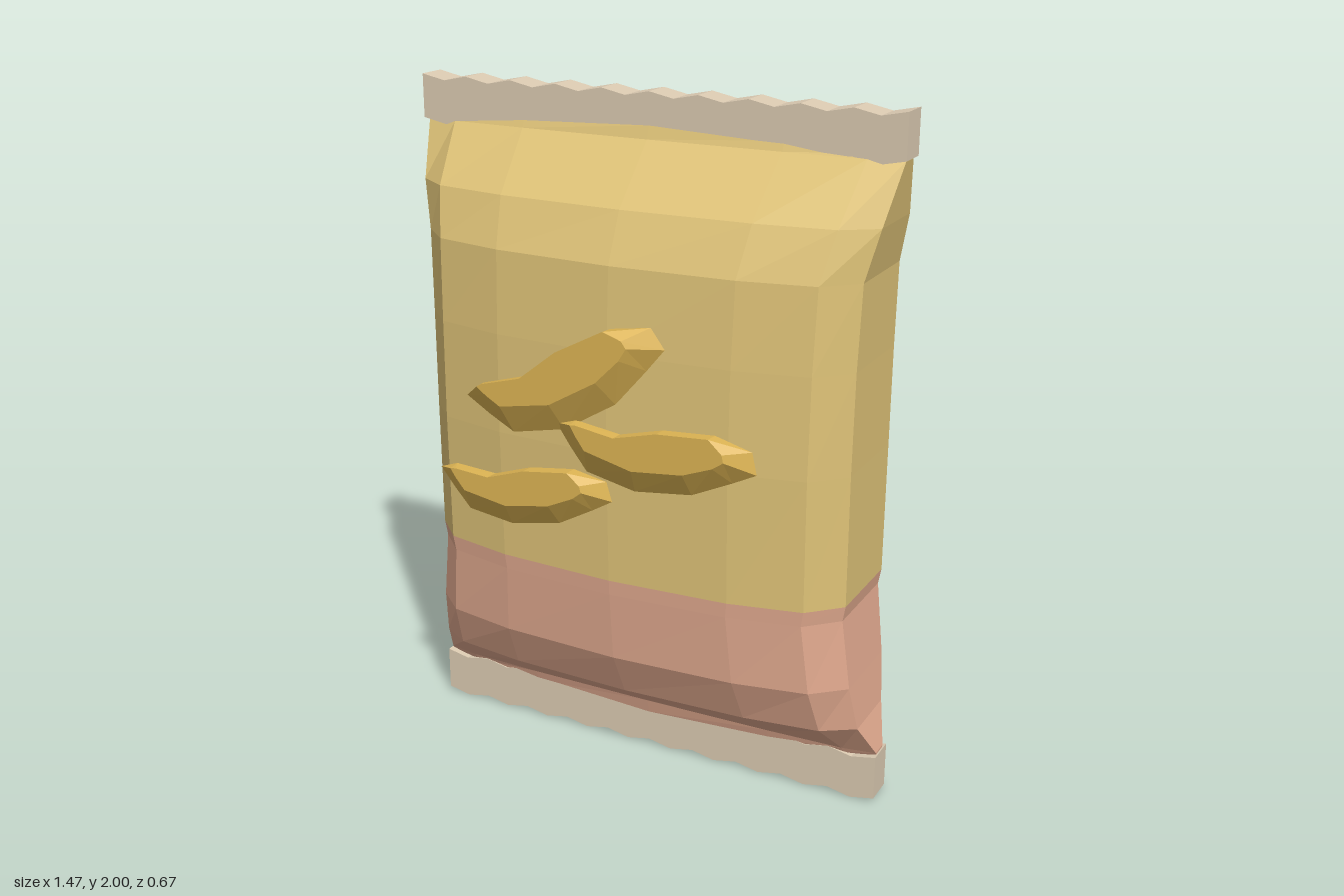
import * as THREE from 'three';

const mat = (name, color) => new THREE.MeshStandardMaterial({ name, color, flatShading: true });

// Non-indexed geometry from a list of Vector3 triangle corners
function facets(points) {
  const g = new THREE.BufferGeometry().setFromPoints(points);
  g.computeVertexNormals();
  return g;
}

// Skin between closed rings of equal length
function skin(rings) {
  const out = [];
  for (let r = 0; r < rings.length - 1; r++) {
    const a = rings[r], b = rings[r + 1];
    a.forEach((p, i) => {
      const j = (i + 1) % a.length;
      out.push(p, a[j], b[j], p, b[j], b[i]);
    });
  }
  return out;
}

// Bag cross-section: x as a fraction of half width, z from the middle plane
const MID_Z = -0.035;
const SECTION = [
  [-1, 0.145], [-0.865, 0.235], [-0.545, 0.28], [0, 0.3], [0.545, 0.28], [0.865, 0.235], [1, 0.145],
  [1, -0.145], [0.545, -0.28], [0, -0.3], [-0.545, -0.28], [-1, -0.145],
];

// Rows: height, half width, depth factor, bow of the row at its middle
const LOWER = [
  [0.145, 0.73, 0.15, -0.035], [0.155, 0.73, 0.19, 0], [0.26, 0.695, 0.67, 0],
  [0.4, 0.677, 0.9, 0], [0.61, 0.652, 0.965, 0], [0.655, 0.66, 0.975, 0],
];
const UPPER = [
  [0.655, 0.66, 0.975, 0], [1.04, 0.66, 1, 0], [1.33, 0.662, 0.98, 0], [1.57, 0.668, 0.93, 0],
  [1.71, 0.7, 0.72, 0], [1.872, 0.728, 0.19, 0], [1.878, 0.73, 0.15, 0.03],
];
const bagRing = ([y, w, d, bow]) => SECTION.map(([fx, z]) =>
  new THREE.Vector3(fx * w, y + bow * (1 - fx * fx), MID_Z + z * d));

// Crimped strip with parallel zigzag edges
function sealGeometry(y0, y1) {
  const n = 20, w = 0.735, lower = [], upper = [];
  for (let i = 0; i <= n; i++) {
    const x = -w + (2 * w * i) / n, dy = i % 2 ? -0.015 : 0;
    lower.push(new THREE.Vector2(x, y0 + dy));
    upper.unshift(new THREE.Vector2(-x, y1 + dy));
  }
  upper.sort((a, b) => b.x - a.x);
  const g = new THREE.ExtrudeGeometry(new THREE.Shape([...lower, ...upper]), { depth: 0.09, bevelEnabled: false });
  return g.translate(0, 0, -0.08);
}

// Curved wedge: wide back outline and smaller front face
const CHIP_BACK = [[0, 0], [0.08, -0.1], [0.17, -0.2], [0.42, -0.235], [0.7, -0.18], [0.89, -0.075],
  [1, -0.01], [0.97, 0.09], [0.79, 0.125], [0.54, 0.09], [0.33, 0.02], [0.1, 0.035]];
const CHIP_FRONT = [[0.11, 0.035], [0.14, -0.01], [0.19, -0.07], [0.43, -0.11], [0.68, -0.065], [0.82, 0],
  [0.87, 0.04], [0.86, 0.075], [0.79, 0.13], [0.54, 0.095], [0.33, 0.025], [0.14, 0.04]];

function chipGeometry() {
  const ring = (pts, z) => pts.map(([x, y]) => new THREE.Vector3(x, y, z));
  const back = ring(CHIP_BACK, 0), front = ring(CHIP_FRONT, 0.045);
  const out = skin([back, front]);
  for (const [a, b, c] of THREE.ShapeUtils.triangulateShape(front, [])) out.push(front[a], front[b], front[c]);
  for (const [a, b, c] of THREE.ShapeUtils.triangulateShape(back, [])) out.push(back[c], back[b], back[a]);
  return facets(out);
}

export function createModel() {
  const group = new THREE.Group();
  group.name = 'snackBag';
  const gold = mat('bagGold', 0xdfc378);
  const pink = mat('bandPink', 0xe3ab90);
  const cream = mat('sealCream', 0xdccbb2);
  const amber = mat('chipAmber', 0xdfb654);
  const add = (name, geometry, material) => {
    const m = new THREE.Mesh(geometry, material);
    m.name = name;
    group.add(m);
    return m;
  };

  // Pillow body in two colours
  add('bagUpper', facets(skin(UPPER.map(bagRing))), gold);
  add('bagLowerBand', facets(skin(LOWER.map(bagRing))), pink);

  // Crimped seals
  add('topSeal', sealGeometry(1.875, 2), cream);
  add('bottomSeal', sealGeometry(0.015, 0.15), cream);

  // Three wedges on the front: x, y, length, tilt in degrees
  const chip = chipGeometry();
  [[-0.434, 1.155, 0.665, 20], [-0.143, 1.12, 0.61, -4], [-0.535, 0.92, 0.566, 0]].forEach(([x, y, s, tilt], i) => {
    const m = add('chip' + (i + 1), chip, amber);
    m.position.set(x, y, 0.29);
    m.scale.set(s, s, 1);
    m.rotation.z = THREE.MathUtils.degToRad(tilt);
  });
  return group;
}
